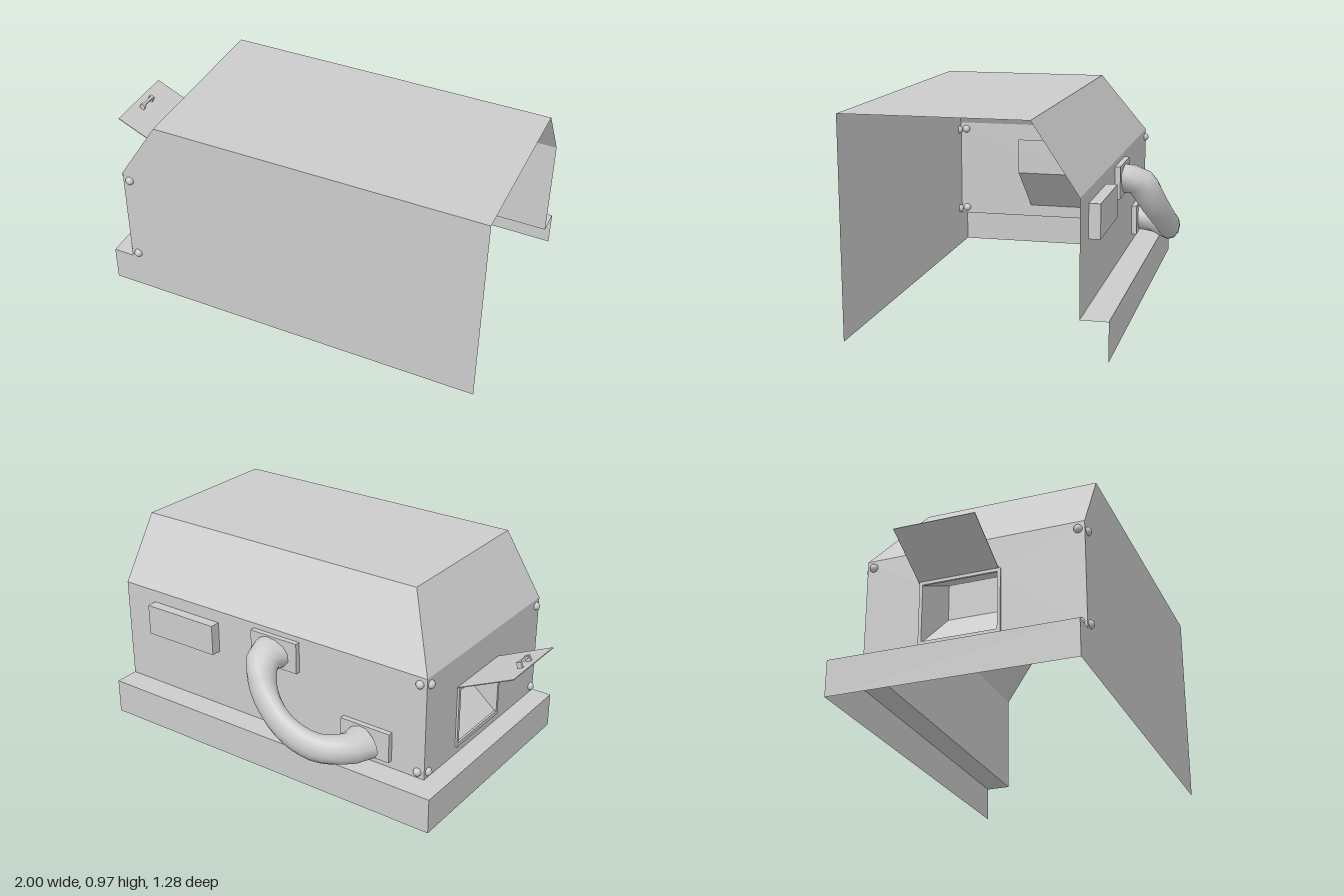
import * as THREE from 'three';

const material = new THREE.MeshStandardMaterial({ color: 0xcccccc, flatShading: true, side: THREE.DoubleSide });
const smooth = new THREE.MeshStandardMaterial({ color: 0xcccccc, side: THREE.DoubleSide });

export function createModel() {
  const model = new THREE.Group();

  const add = (name, geometry, position = [0, 0, 0], parent = model, mat = material) => {
    const mesh = new THREE.Mesh(geometry, mat);
    mesh.name = name;
    mesh.position.set(...position);
    parent.add(mesh);
    return mesh;
  };
  const box = (name, size, position, parent) => add(name, new THREE.BoxGeometry(...size), position, parent);

  // Four-cornered sheet
  const sheet = (name, a, b, c, d) => {
    const g = new THREE.BufferGeometry();
    g.setAttribute('position', new THREE.Float32BufferAttribute([...a, ...b, ...c, ...d], 3));
    g.setIndex([0, 1, 2, 0, 2, 3]);
    g.computeVertexNormals();
    return add(name, g);
  };
  const outline = (points) => new THREE.Shape(points.map(([x, y]) => new THREE.Vector2(x, y)));
  const rect = (x0, x1, y0, y1) => outline([[x0, y0], [x1, y0], [x1, y1], [x0, y1]]);

  // Main dimensions of the open shell
  const L = 1, E = -0.73, S = -0.83, R = -0.54; // open end, end wall, step, roof
  const F = 0.62, B = -0.39, BS = -0.51, BR = -0.19; // front, back wall, step, roof
  const stepY = 0.17, eaveY = 0.67, topY = 0.97;

  // Front wall, one flat sheet
  add('frontWall', new THREE.ShapeGeometry(outline([
    [S, 0], [L, 0], [L, topY], [R, topY], [E, eaveY], [E, stepY], [S, stepY],
  ])), [0, 0, F]);

  // Roof and slopes
  sheet('roof', [R, topY, F], [L, topY, F], [L, topY, BR], [R, topY, BR]);
  sheet('backSlope', [R, topY, BR], [L, topY, BR], [L, eaveY, B], [E, eaveY, B]);
  sheet('endSlope', [R, topY, F], [R, topY, BR], [E, eaveY, B], [E, eaveY, F]);

  // Back wall and stepped base
  sheet('backWall', [E, eaveY, B], [L, eaveY, B], [L, stepY, B], [E, stepY, B]);
  sheet('backLedge', [E, stepY, B], [L, stepY, B], [L, stepY, BS], [S, stepY, BS]);
  sheet('endLedge', [E, stepY, F], [E, stepY, B], [S, stepY, BS], [S, stepY, F]);
  sheet('backBase', [S, stepY, BS], [L, stepY, BS], [L, 0, BS], [S, 0, BS]);
  sheet('endBase', [S, stepY, F], [S, stepY, BS], [S, 0, BS], [S, 0, F]);

  // End wall with its opening
  const z0 = -0.115, z1 = 0.23, y0 = 0.23, y1 = 0.5;
  const endWall = rect(B, F, stepY, eaveY);
  endWall.holes.push(rect(z0, z1, y0, y1));
  add('endWall', new THREE.ShapeGeometry(endWall).rotateY(-Math.PI / 2), [E, 0, 0]);

  // Raised frame round the opening
  const frame = rect(-0.13, 0.245, 0.21, 0.515);
  frame.holes.push(rect(z0, z1, y0, y1));
  add('openingFrame', new THREE.ExtrudeGeometry(frame, { depth: 0.01, bevelEnabled: false })
    .rotateY(-Math.PI / 2), [E, 0, 0]);

  // Chute behind the opening
  const chute = [[E, y0], [-0.46, 0.46], [-0.46, 0.635], [E, y1]];
  ['chuteFloor', 'chuteBack', 'chuteCeiling'].forEach((name, i) => {
    const [p, q] = [chute[i], chute[i + 1]];
    sheet(name, [...p, z0], [...p, z1], [...q, z1], [...q, z0]);
  });
  for (const z of [z0, z1]) add('chuteSide', new THREE.ShapeGeometry(outline(chute)), [0, 0, z]);

  // Raised flap with a small pull
  const flap = new THREE.Group();
  flap.name = 'flap';
  flap.position.set(E, 0.515, 0.05);
  flap.rotation.z = -Math.atan2(0.125, 0.27);
  model.add(flap);
  box('flapPlate', [0.298, 0.004, 0.37], [-0.149, 0, 0], flap);
  box('flapPullBar', [0.012, 0.012, 0.09], [-0.252, 0.024, 0], flap);
  for (const z of [-0.039, 0.039]) box('flapPullLeg', [0.025, 0.03, 0.012], [-0.252, 0.015, z], flap);

  // Rivets near the corners
  const rivet = new THREE.SphereGeometry(0.02, 14, 10);
  for (const y of [0.2, 0.635]) {
    for (const z of [0.59, -0.36]) add('endRivet', rivet, [E, y, z], model, smooth);
    for (const z of [F, B]) add('sideRivet', rivet, [-0.695, y, z], model, smooth);
  }

  // Back box and handle feet
  box('backBox', [0.4, 0.15, 0.05], [0.62, 0.535, B - 0.025]);
  box('upperHandlePlate', [0.26, 0.15, 0.025], [0.075, 0.57, B - 0.0125]);
  box('lowerHandlePlate', [0.26, 0.145, 0.025], [-0.43, 0.28, B - 0.0125]);

  // Handle: oval section swept along a curve, thinner in the middle
  const path = new THREE.CatmullRomCurve3([
    [0.08, 0.57, -0.41], [0.08, 0.56, -0.48], [0.03, 0.45, -0.545], [-0.11, 0.33, -0.588],
    [-0.28, 0.27, -0.575], [-0.4, 0.27, -0.5], [-0.43, 0.275, -0.41],
  ].map((p) => new THREE.Vector3(...p)));
  const rings = 20, sides = 12, position = [], index = [];
  const across = new THREE.Vector3(0.3, -0.95, 0);
  for (let i = 0; i <= rings; i++) {
    const t = i / rings;
    const centre = path.getPointAt(t), tangent = path.getTangentAt(t);
    const side = across.clone().addScaledVector(tangent, -across.dot(tangent)).normalize();
    const radial = tangent.clone().cross(side);
    const thick = 0.05 + 0.045 * Math.pow(Math.abs(2 * t - 1), 2);
    for (let j = 0; j < sides; j++) {
      const a = (j / sides) * Math.PI * 2;
      const p = centre.clone().addScaledVector(side, 0.068 * Math.sin(a))
        .addScaledVector(radial, thick * Math.cos(a));
      position.push(p.x, p.y, p.z);
      if (i < rings) {
        const m = i * sides + j, n = i * sides + (j + 1) % sides;
        index.push(m, m + sides, n, n, m + sides, n + sides);
      }
    }
  }
  const handle = new THREE.BufferGeometry();
  handle.setAttribute('position', new THREE.Float32BufferAttribute(position, 3));
  handle.setIndex(index);
  handle.computeVertexNormals();
  // Make the winding face outwards
  const normal = new THREE.Vector3().fromBufferAttribute(handle.attributes.normal, 0);
  const outward = new THREE.Vector3().fromArray(position).sub(path.getPointAt(0));
  if (normal.dot(outward) < 0) {
    handle.setIndex(index.reverse());
    handle.computeVertexNormals();
  }
  add('handle', handle, [0, 0, 0], model, smooth);

  return model;
}
